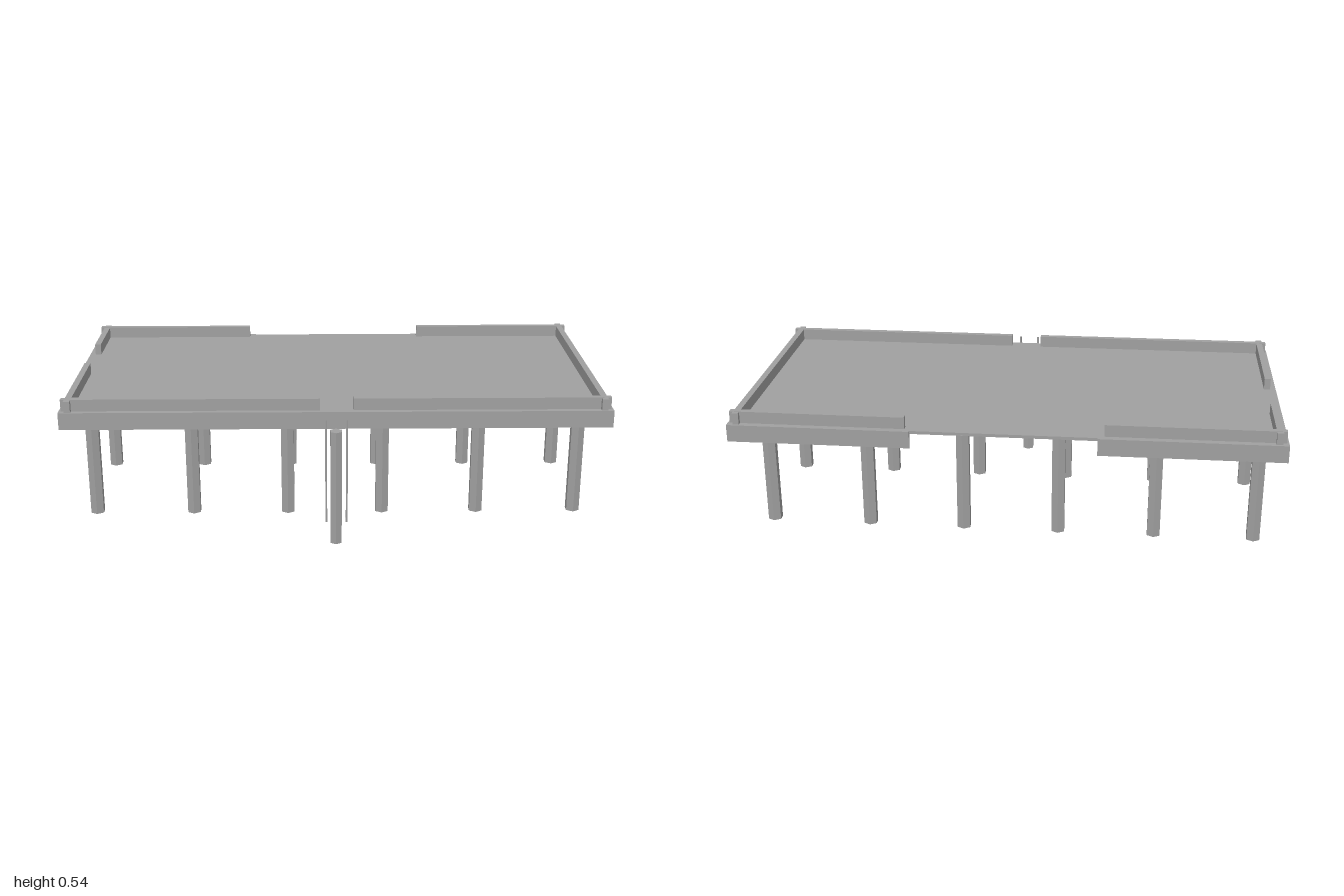
import * as THREE from 'three';

export function createModel() {
  const group = new THREE.Group();
  const grey = new THREE.MeshStandardMaterial({ color: 0xa0a0a0 });
  grey.name = 'weathered grey';

  const add = (name, geometry, x, y, z) => {
    const mesh = new THREE.Mesh(geometry, grey);
    mesh.name = name;
    mesh.position.set(x, y, z);
    group.add(mesh);
  };
  // Box given by its lower and upper limits on each axis
  const box = (name, [x0, x1], [y0, y1], [z0, z1]) =>
    add(name, new THREE.BoxGeometry(x1 - x0, y1 - y0, z1 - z0),
      (x0 + x1) / 2, (y0 + y1) / 2, (z0 + z1) / 2);
  // Upright six-sided post with corners towards front and back
  const post = (name, r, y0, y1, x, z, open = false) => {
    const geometry = new THREE.CylinderGeometry(r, r, y1 - y0, 6, 1, open).toNonIndexed();
    geometry.computeVertexNormals();
    add(name, geometry, x, (y0 + y1) / 2, z);
  };

  const deckTop = 0.496, front = 0.457, back = -0.534;

  // Thin deck, hollow underneath
  box('deck', [-1, 1], [deckTop - 0.005, deckTop], [back, front]);

  // Boards hanging around the deck edge, with an opening in the back
  const skirt = [0.432, deckTop - 0.001];
  box('frontSkirt', [-1, 1], skirt, [front - 0.012, front]);
  for (const [x0, x1, side] of [[-1, -0.988, 'right'], [0.988, 1, 'left']])
    box(side + 'Skirt', [x0, x1], skirt, [back, front]);
  box('backSkirtRight', [-1, -0.335], [0.432, deckTop], [-0.543, back + 0.003]);
  box('backSkirtLeft', [0.335, 1], [0.432, deckTop], [-0.543, back + 0.003]);

  // Low kerb rails that cross at the corners, with gaps for access
  const rail = [deckTop, 0.54];
  for (const [x0, x1] of [[-0.992, -0.06], [0.06, 0.992]])
    box('frontRail', [x0, x1], rail, [0.414, 0.437]);
  for (const [x0, x1] of [[-0.992, -0.358], [0.355, 0.992]])
    box('backRail', [x0, x1], rail, [-0.519, -0.497]);
  const railTop = [deckTop, 0.539];
  for (const [z0, z1] of [[-0.534, -0.25], [0, 0.455]])
    box('rightRail', [-0.978, -0.955], railTop, [z0, z1]);
  box('leftRail', [0.955, 0.978], railTop, [-0.534, 0.455]);

  // Two long beams, each on a row of six legs
  for (const z of [0.208, -0.287]) {
    box('beam', [-0.988, 0.985], [0.388, 0.437], [z - 0.025, z + 0.025]);
    for (const x of [-0.926, -0.55, -0.185, 0.178, 0.544, 0.924])
      post('leg', 0.028, 0, 0.389, x, z);
  }

  // Mooring post and the two thin ladder rods in front of it
  post('mooringPost', 0.024, 0, 0.437, -0.003, 0.492);
  for (const x of [-0.039, 0.035])
    post('ladderRod', 0.004, 0.102, deckTop, x, 0.539, true);

  return group;
}
